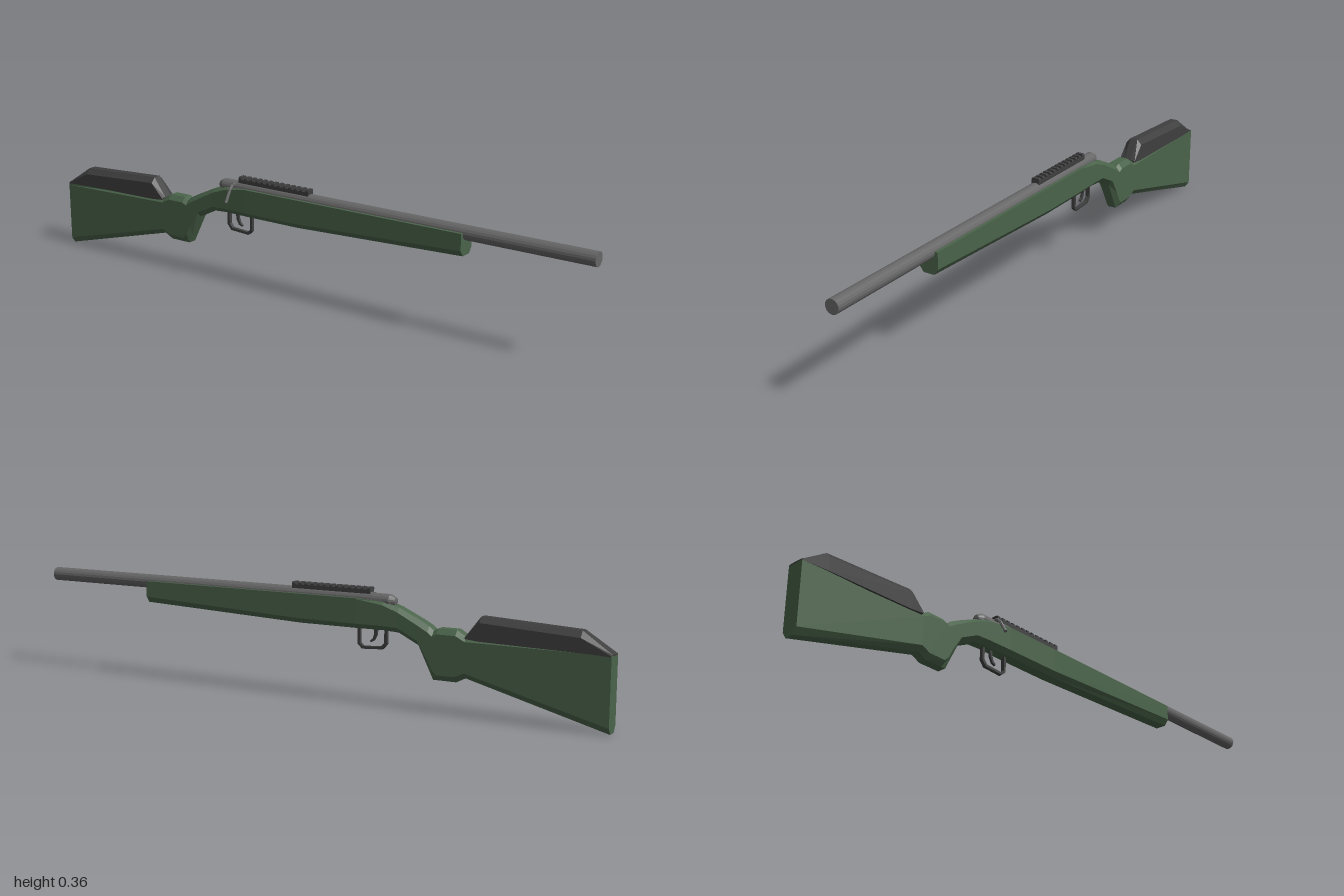
import * as THREE from 'three';

const material = (name, color) => {
  const m = new THREE.MeshStandardMaterial({ color });
  m.name = name;
  return m;
};

// Loft of eight-sided sections along x.
// Station: [x, bottom, lower chamfer, upper chamfer, top, half width, top half width, bottom half width]
function loft(stations) {
  const n = 8, pos = [], idx = [];
  for (const [x, b, bc, tc, t, w, wt, wb] of stations) {
    const side = [[wb, b], [w, bc], [w, tc], [wt, t]];
    for (const [z, y] of side) pos.push(x, y, z);
    for (const [z, y] of side.reverse()) pos.push(x, y, -z);
  }
  const last = (stations.length - 1) * n;
  for (let i = 0; i < last; i += n) {
    for (let k = 0; k < n; k++) {
      const a = i + k, b = i + (k + 1) % n;
      idx.push(a, a + n, b + n, a, b + n, b);
    }
  }
  for (let k = 1; k < n - 1; k++) {
    idx.push(0, k, k + 1);
    idx.push(last, last + k + 1, last + k);
  }
  const indexed = new THREE.BufferGeometry();
  indexed.setAttribute('position', new THREE.Float32BufferAttribute(pos, 3));
  indexed.setIndex(idx);
  const g = indexed.toNonIndexed();
  g.computeVertexNormals();
  return g;
}

const points = (list) => list.map(([x, y]) => new THREE.Vector2(x, y));

// Flat plate in the xy plane, centred on z
function plate(outline, depth, hole) {
  const shape = new THREE.Shape(points(outline));
  if (hole) shape.holes.push(new THREE.Path(points(hole)));
  return new THREE.ExtrudeGeometry(shape, { depth, bevelEnabled: false }).translate(0, 0, -depth / 2);
}

// Capped round bar between two points
function bar(a, b, radius) {
  const dir = b.clone().sub(a);
  const g = new THREE.CylinderGeometry(radius, radius, dir.length(), 8);
  g.applyQuaternion(new THREE.Quaternion().setFromUnitVectors(new THREE.Vector3(0, 1, 0), dir.normalize()));
  const mid = a.clone().add(b).multiplyScalar(0.5);
  return g.translate(mid.x, mid.y, mid.z);
}

export function createModel() {
  const model = new THREE.Group();
  const body = new THREE.Group();
  body.position.z = -0.017;
  model.add(body);

  const green = material('stock green', 0x4b644b);
  const steel = material('steel grey', 0x666666);
  const dark = material('dark grey', 0x403f40);
  for (const m of [green, steel, dark]) m.flatShading = true;

  const add = (name, geometry, mat, parent = body) => {
    const mesh = new THREE.Mesh(geometry, mat);
    mesh.name = name;
    parent.add(mesh);
    return mesh;
  };

  // Stock: butt, grip, wrist and fore-end in one loft
  const w = 0.0285, f = 0.032, c = 0.0145;
  add('stock', loft([
    [-1.0, 0.0, 0.02, 0.215, 0.225, w, w, c],
    [-0.56, 0.115, 0.132, 0.225, 0.238, w, c, c],
    [-0.53, 0.1, 0.118, 0.24, 0.256, w, c, c],
    [-0.47, 0.1, 0.117, 0.24, 0.256, w, c, c],
    [-0.455, 0.1, 0.132, 0.232, 0.248, w, c, c],
    [-0.44, 0.13, 0.162, 0.243, 0.26, w, c, c],
    [-0.405, 0.2, 0.216, 0.262, 0.278, w, c, c],
    [-0.34, 0.232, 0.248, 0.295, 0.308, 0.029, c, c],
    [-0.29, 0.235, 0.25, 0.313, 0.322, 0.03, 0.02, c],
    [-0.2, 0.235, 0.25, 0.326, 0.328, f, f, 0.018],
    [0.0, 0.235, 0.251, 0.326, 0.328, f, f, 0.018],
    [0.59, 0.257, 0.276, 0.326, 0.328, f, f, 0.018],
  ]), green);

  // Raised cheek rest on the butt
  add('cheekRest', loft([
    [-1.0, 0.221, 0.222, 0.224, 0.226, w, 0.016, w],
    [-0.91, 0.225, 0.227, 0.268, 0.287, w, 0.013, w],
    [-0.605, 0.23, 0.232, 0.285, 0.302, w, 0.013, w],
    [-0.56, 0.234, 0.236, 0.238, 0.241, w, 0.013, w],
  ]), dark);

  // Barrel running back into the receiver
  const barrel = new THREE.CylinderGeometry(0.0225, 0.0225, 1.25, 18).rotateZ(-Math.PI / 2);
  add('barrel', barrel.translate(0.375, 0.3245, 0), steel);

  // Rounded rear of the bolt
  const shroud = new THREE.LatheGeometry(points([
    [0, -0.325], [0.012, -0.322], [0.021, -0.305], [0.021, -0.25], [0, -0.25],
  ]), 18).rotateZ(-Math.PI / 2);
  add('boltShroud', shroud.translate(0, 0.3235, 0), steel);

  // Bent bolt handle
  const handle = new THREE.Group();
  handle.name = 'boltHandle';
  body.add(handle);
  const bend = [[0.336, 0.008], [0.336, 0.027], [0.321, 0.041], [0.283, 0.0625]]
    .map(([y, z]) => new THREE.Vector3(-0.255, y, z));
  for (let i = 0; i < bend.length - 1; i++) {
    add('handleSegment', bar(bend[i], bend[i + 1], 0.005), steel, handle);
  }

  // Toothed top rail
  const rail = new THREE.Group();
  rail.name = 'topRail';
  body.add(rail);
  add('railBase', new THREE.BoxGeometry(0.275, 0.014, 0.028).translate(-0.1025, 0.347, 0), dark, rail);
  const teeth = 13, pitch = 0.275 / (teeth - 0.5);
  for (let i = 0; i < teeth; i++) {
    const x = -0.24 + i * pitch;
    const tooth = plate([[-0.014, 0.353], [0.014, 0.353], [0.014, 0.358], [0.011, 0.362], [-0.011, 0.362], [-0.014, 0.358]], pitch / 2);
    add('railTooth', tooth.rotateY(Math.PI / 2).translate(x + pitch / 4, 0, 0), dark, rail);
  }

  // Trigger guard and trigger
  add('triggerGuard', plate(
    [[-0.295, 0.24], [-0.295, 0.192], [-0.28, 0.174], [-0.21, 0.17], [-0.194, 0.184], [-0.194, 0.24]], 0.012,
    [[-0.286, 0.238], [-0.286, 0.195], [-0.275, 0.182], [-0.213, 0.178], [-0.202, 0.188], [-0.202, 0.238]],
  ), dark);
  add('trigger', plate(
    [[-0.262, 0.24], [-0.259, 0.215], [-0.25, 0.198], [-0.238, 0.192], [-0.236, 0.197],
      [-0.245, 0.204], [-0.25, 0.218], [-0.25, 0.24]], 0.008,
  ), dark);

  return model;
}
